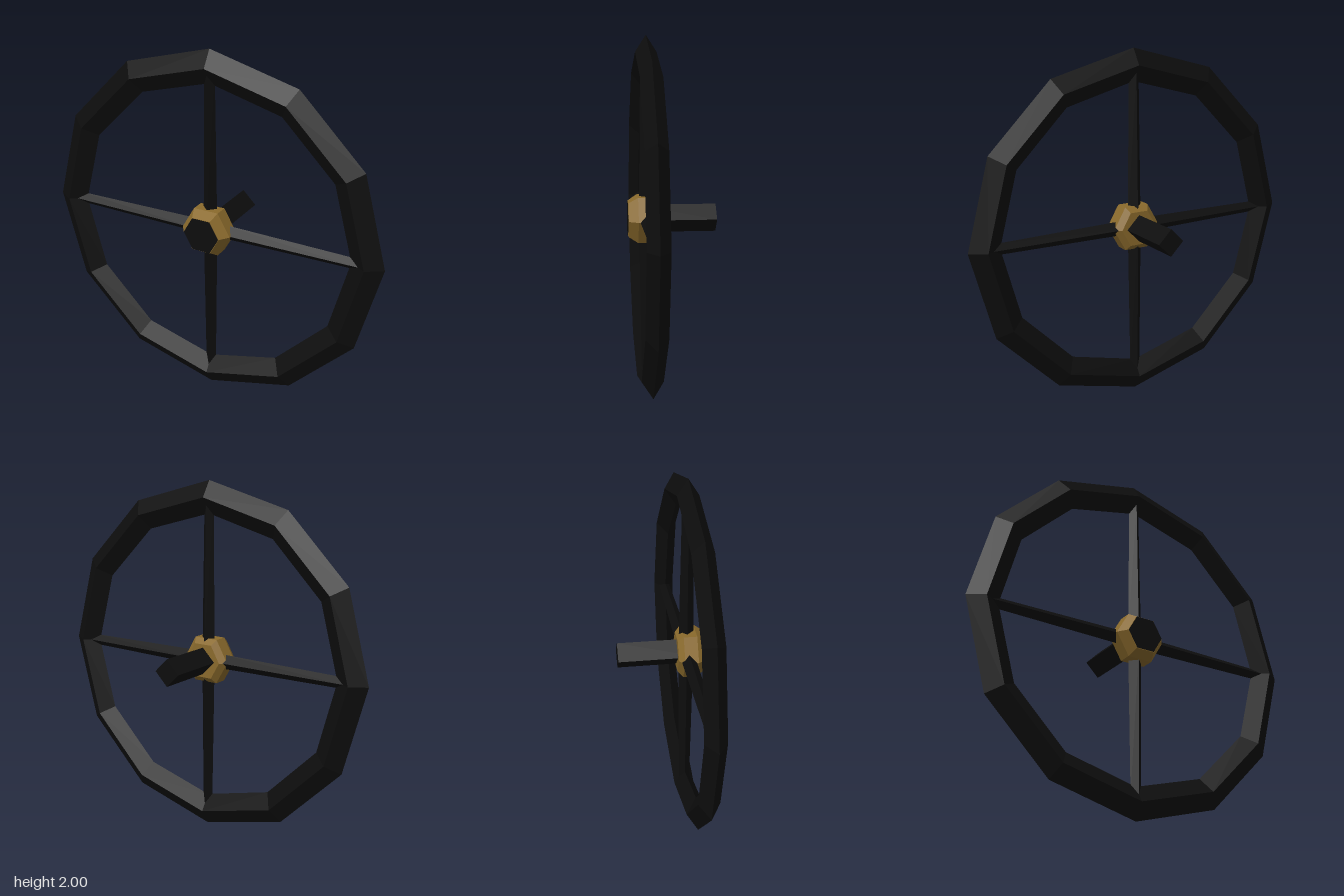
import * as THREE from 'three';

const black = new THREE.MeshStandardMaterial({ color: 0x0d0d0d, flatShading: true });
const brass = new THREE.MeshStandardMaterial({ color: 0x8a6a2c, flatShading: true });

const WHEEL_Z = 0.14;

export function createModel() {
  const model = new THREE.Group();
  const add = (name, geometry, material) => {
    const mesh = new THREE.Mesh(geometry, material);
    mesh.name = name;
    mesh.position.y = 1;
    model.add(mesh);
    return mesh;
  };

  // Twelve-sided rim with a diamond section, flattened front to back
  const rim = new THREE.TorusGeometry(0.91, 0.09, 4, 12);
  rim.scale(1, 1, 0.645);
  rim.translate(0, 0, WHEEL_Z);
  add('rim', rim, black);

  // Four tapering diamond-section spokes, running from hub into the rim
  for (let i = 0; i < 4; i++) {
    const spoke = new THREE.CylinderGeometry(0.031, 0.042, 0.82, 4);
    spoke.translate(0, 0.46, 0);
    spoke.rotateZ(i * Math.PI / 2);
    spoke.translate(0, 0, WHEEL_Z);
    add('spoke', spoke, black);
  }

  // Six-sided bevelled hub, widest in the middle
  const profile = [[0, 0.085], [0.11, 0.085], [0.145, 0.115], [0.145, 0.19], [0.108, 0.243], [0, 0.243]]
    .map(([r, z]) => new THREE.Vector2(r, z));
  const hub = new THREE.LatheGeometry(profile, 6, Math.PI / 2);
  hub.rotateX(Math.PI / 2);
  add('hub', hub, brass);

  // Dark face on the front of the hub
  const cap = new THREE.CircleGeometry(0.106, 6);
  cap.translate(0, 0, 0.245);
  add('hubCap', cap, black);

  // Diamond-section shaft behind the wheel
  const shaft = new THREE.CylinderGeometry(0.077, 0.077, 0.445, 4);
  shaft.rotateX(Math.PI / 2);
  shaft.translate(0, 0, -0.0225);
  add('shaft', shaft, black);

  return model;
}
